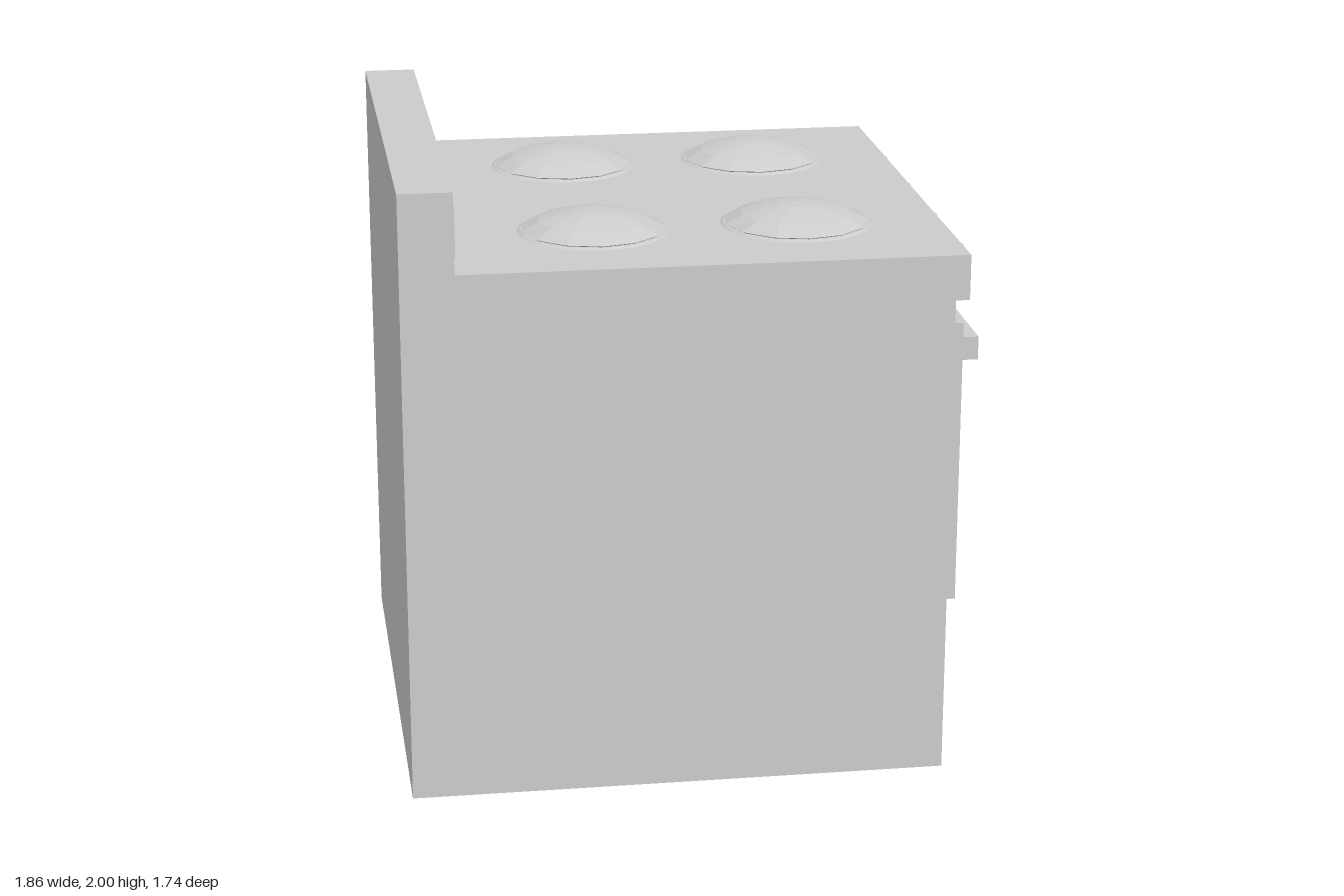
import * as THREE from 'three';

const material = new THREE.MeshStandardMaterial({ color: 0xcccccc });
const flat = new THREE.MeshStandardMaterial({ color: 0xcccccc, flatShading: true });

export function createModel() {
  const stove = new THREE.Group();
  stove.name = 'stove';

  const add = (name, geometry, parent = stove, mat = material) => {
    const mesh = new THREE.Mesh(geometry, mat);
    mesh.name = name;
    parent.add(mesh);
    return mesh;
  };
  // Box given by its limits on each axis
  const box = (name, x0, x1, y0, y1, z0, z1, parent) => {
    const mesh = add(name, new THREE.BoxGeometry(x1 - x0, y1 - y0, z1 - z0), parent);
    mesh.position.set((x0 + x1) / 2, (y0 + y1) / 2, (z0 + z1) / 2);
    return mesh;
  };

  // Body: side outline with drawer, door, control strip and backsplash, swept across z
  const outline = [
    [-0.93, 0], [0.805, 0], [0.805, 0.59], [0.832, 0.59], [0.832, 1.52], [0.805, 1.52],
    [0.805, 1.594], [0.85, 1.594], [0.85, 1.74], [-0.76, 1.74], [-0.76, 2], [-0.93, 2],
  ].map(([x, y]) => new THREE.Vector2(x, y));
  const body = new THREE.ExtrudeGeometry(new THREE.Shape(outline), { depth: 1.736, bevelEnabled: false });
  add('body', body.translate(0, 0, -0.868));

  // Oven door: window and bar handle on two posts
  box('ovenWindow', 0.82, 0.846, 0.75, 1.19, -0.54, 0.545);
  const doorHandle = new THREE.Group();
  doorHandle.name = 'doorHandle';
  stove.add(doorHandle);
  box('handleBar', 0.865, 0.925, 1.342, 1.418, -0.697, 0.697, doorHandle);
  for (const s of [-1, 1]) {
    const a = s * 0.635, b = s * 0.697;
    box('handlePost', 0.82, 0.865, 1.342, 1.418, Math.min(a, b), Math.max(a, b), doorHandle);
  }

  // Drawer pull
  box('drawerHandle', 0.8, 0.835, 0.45, 0.498, -0.157, 0.16);

  // Burners: low faceted domes over a thin round base
  const dome = new THREE.LatheGeometry(
    [[0.222, 1.742], [0.235, 1.75], [0.18, 1.778], [0.12, 1.795], [0.062, 1.807], [0, 1.811]]
      .map(([r, y]) => new THREE.Vector2(r, y)), 13);
  const base = new THREE.CylinderGeometry(0.235, 0.248, 0.008, 32);
  for (const x of [-0.28, 0.38]) {
    for (const z of [-0.45, 0.41]) {
      const burner = new THREE.Group();
      burner.name = 'burner';
      burner.position.set(x, 0, z);
      add('burnerDome', dome, burner, flat);
      add('burnerBase', base, burner).position.y = 1.742;
      stove.add(burner);
    }
  }

  // Control knobs: rounded disc with a raised grip
  const disc = new THREE.LatheGeometry(
    [[0.054, -0.005], [0.061, 0.006], [0.061, 0.012], [0.052, 0.02], [0.03, 0.025], [0, 0.026]]
      .map(([r, h]) => new THREE.Vector2(r, h)), 20).rotateZ(-Math.PI / 2);
  for (const z of [0.607, 0.232, -0.172, -0.548]) {
    const knob = new THREE.Group();
    knob.name = 'controlKnob';
    knob.position.set(0.85, 1.664, z);
    add('knobDisc', disc, knob);
    box('knobGrip', 0.01, 0.036, -0.036, 0.038, -0.013, 0.013, knob);
    stove.add(knob);
  }

  // Backsplash: thin panels, central display and two domed dials
  for (const [z0, z1] of [[-0.868, -0.735], [-0.187, 0.18], [0.735, 0.868]]) {
    box('backPanel', -0.77, -0.757, 1.79, 1.96, z0, z1);
  }
  box('display', -0.77, -0.747, 1.843, 1.907, -0.05, 0.055);
  for (const z of [0.487, -0.502]) {
    const dial = add('backDial', new THREE.SphereGeometry(0.085, 18, 12));
    dial.scale.x = 0.25;
    dial.position.set(-0.762, 1.878, z);
  }

  return stove;
}
